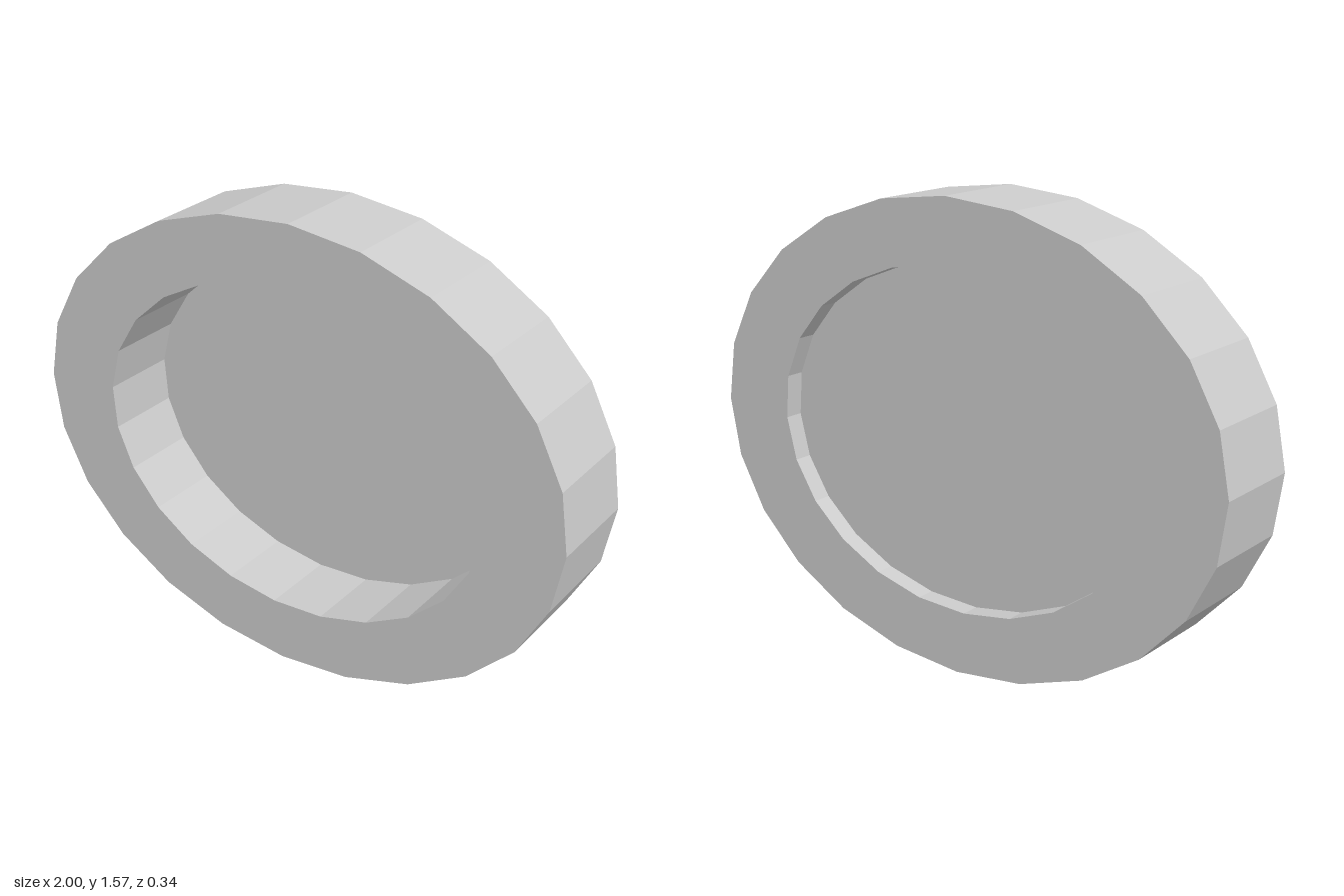
import * as THREE from 'three';

const SIDES = 24, CENTER_Y = 0.787, DEPTH = 0.338;

// Points of a faceted oval, turned slightly clockwise by `turn` degrees
function oval(rx, ry, turn) {
  const points = [];
  for (let i = 0; i < SIDES; i++) {
    const t = THREE.MathUtils.degToRad(turn) + (i / SIDES) * Math.PI * 2;
    points.push(new THREE.Vector2(rx * Math.sin(t), CENTER_Y + ry * Math.cos(t)));
  }
  return points;
}

export function createModel() {
  const group = new THREE.Group();
  group.name = 'ovalFrame';
  const material = new THREE.MeshStandardMaterial({
    color: 0xcccccc, flatShading: true, side: THREE.DoubleSide,
  });
  const inner = oval(0.725, 0.571, 3.9);

  // Deep rim with an oval opening
  const rimShape = new THREE.Shape(oval(1, 0.786, 1.1));
  rimShape.holes.push(new THREE.Path(inner));
  const rim = new THREE.Mesh(
    new THREE.ExtrudeGeometry(rimShape, { depth: DEPTH, bevelEnabled: false }), material);
  rim.name = 'rim';
  rim.position.z = -DEPTH / 2;

  // Thin panel closing the opening near the back
  const panel = new THREE.Mesh(new THREE.ShapeGeometry(new THREE.Shape(inner)), material);
  panel.name = 'panel';
  panel.position.z = -0.103;

  group.add(rim, panel);
  return group;
}
